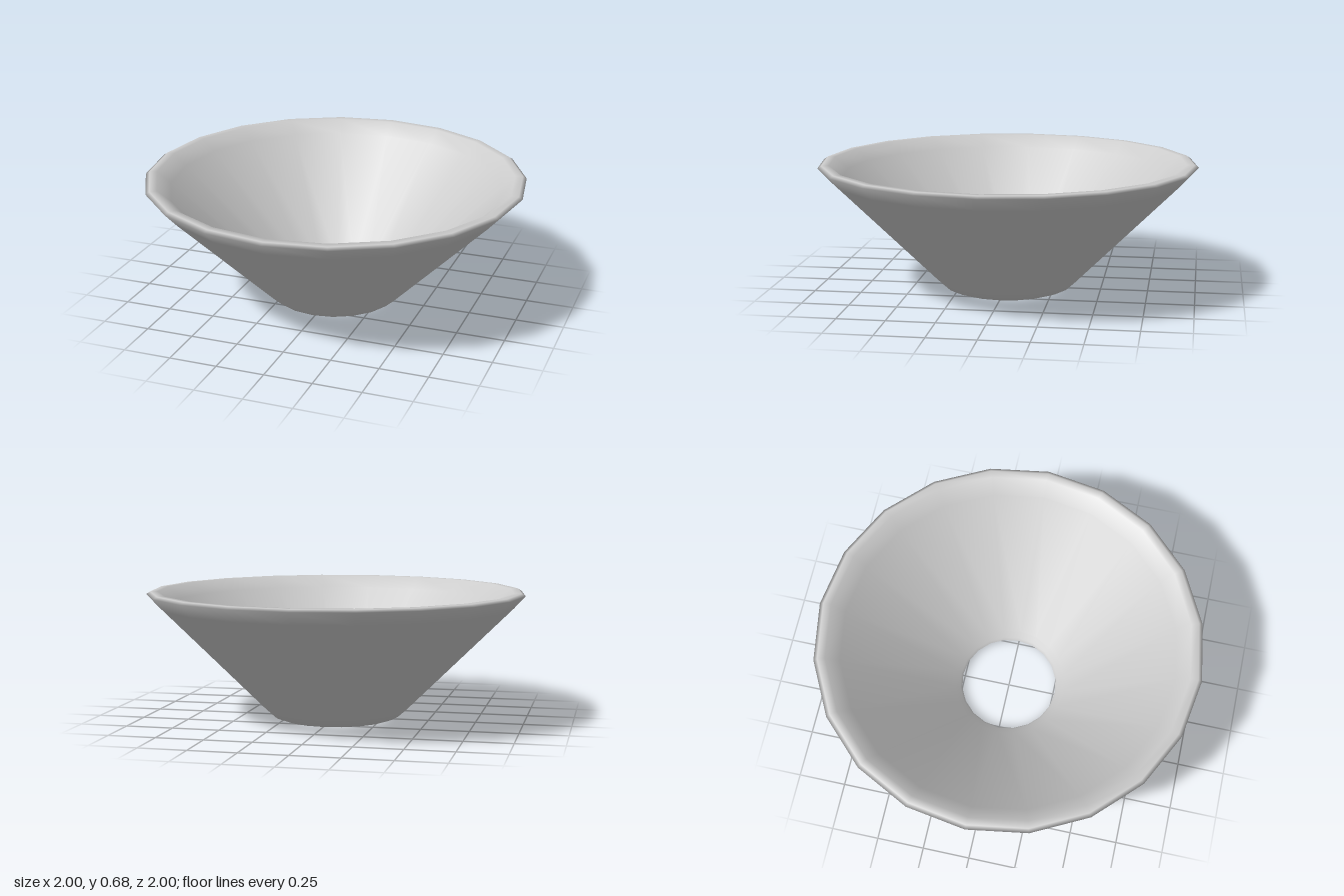
import * as THREE from 'three';

export function createModel() {
  const group = new THREE.Group();
  group.name = 'funnelBowl';

  // Closed wall section [radius, height]: hole edge, foot, outer wall, rim, inner wall, back to the hole edge
  const section = [
    [0.26, 0.025], [0.275, 0.008], [0.3, 0], [0.34, 0.015], [0.39, 0.06],
    [0.94, 0.605], [1, 0.67], [0.98, 0.683], [0.94, 0.683],
    [0.87, 0.62], [0.3, 0.065], [0.27, 0.04], [0.26, 0.025],
  ].map(([r, y]) => new THREE.Vector2(r, y));

  // Twenty-sided bowl with an open bottom
  const bowl = new THREE.Mesh(
    new THREE.LatheGeometry(section, 20),
    new THREE.MeshStandardMaterial({ color: 0xcccccc })
  );
  bowl.name = 'bowl';
  group.add(bowl);
  return group;
}
